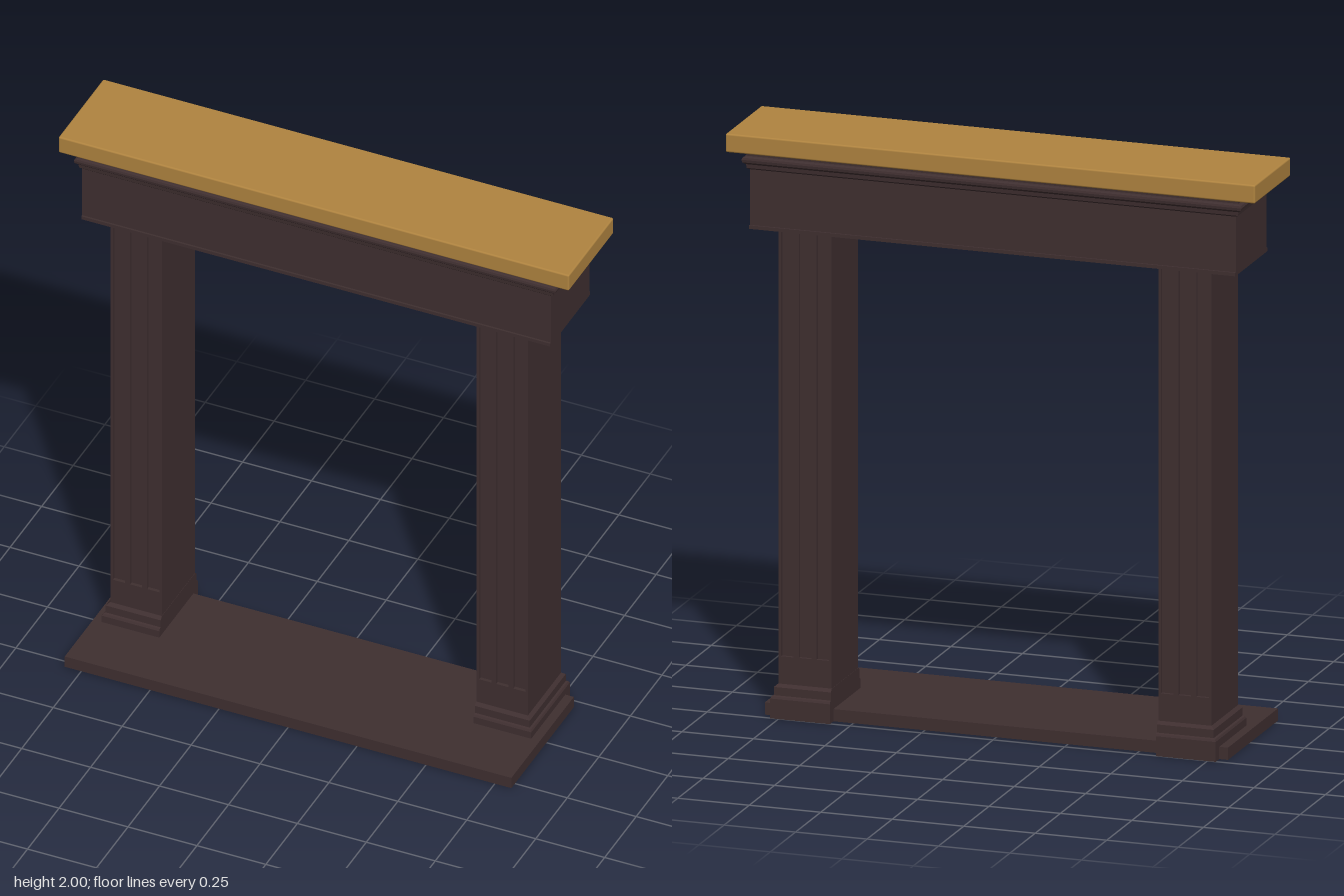
import * as THREE from 'three';
import { RoundedBoxGeometry } from 'three/addons/geometries/RoundedBoxGeometry.js';

const CZ = -0.1; // depth centre of the columns, lintel and shelf

// Stack of rectangles, bottom to top: each level is [y, x0, x1, z0, z1]
function loft(levels) {
  const pos = [];
  const rings = levels.map(([y, x0, x1, z0, z1]) =>
    [[x0, y, z1], [x1, y, z1], [x1, y, z0], [x0, y, z0]]);
  const quad = (a, b, c, d) => pos.push(...a, ...b, ...c, ...a, ...c, ...d);
  for (let i = 0; i < rings.length - 1; i++) {
    const lo = rings[i], hi = rings[i + 1];
    for (let k = 0; k < 4; k++) {
      const n = (k + 1) % 4;
      quad(lo[k], lo[n], hi[n], hi[k]);
    }
  }
  const top = rings[rings.length - 1], bottom = rings[0];
  quad(top[0], top[1], top[2], top[3]);
  quad(bottom[3], bottom[2], bottom[1], bottom[0]);
  const g = new THREE.BufferGeometry();
  g.setAttribute('position', new THREE.Float32BufferAttribute(pos, 3));
  g.computeVertexNormals();
  return g;
}

// Column plan with three grooves on both the front and the back
function flutedShape(w, d, grooves, grooveWidth, depth) {
  const pitch = w / grooves;
  const edge = [[-w / 2, -d / 2]];
  for (let i = 0; i < grooves; i++) {
    const c = -w / 2 + pitch * (i + 0.5), h = grooveWidth / 2;
    edge.push([c - h, -d / 2], [c - h, -d / 2 + depth], [c + h, -d / 2 + depth], [c + h, -d / 2]);
  }
  edge.push([w / 2, -d / 2]);
  const all = edge.concat(edge.map(([x, y]) => [-x, -y]));
  return new THREE.Shape(all.map(([x, y]) => new THREE.Vector2(x, y)));
}

export function createModel() {
  const group = new THREE.Group();
  const darkWood = new THREE.MeshStandardMaterial({ color: 0x3f2f30 });
  darkWood.name = 'darkWood';
  const goldenWood = new THREE.MeshStandardMaterial({ color: 0xb08440 });
  goldenWood.name = 'goldenWood';

  const add = (name, geometry, material, x = 0, y = 0, z = 0) => {
    const m = new THREE.Mesh(geometry, material);
    m.name = name;
    m.position.set(x, y, z);
    group.add(m);
    return m;
  };

  // Hearth slab
  add('hearthSlab', new THREE.BoxGeometry(1.62, 0.042, 0.495), darkWood, 0, 0.021, 0.0305);

  // Columns: plain foot, fluted shaft and stepped plinth on the outer sides
  const inner = 0.571, outer = 0.757, zHalf = 0.131;
  const width = outer - inner, midX = (inner + outer) / 2;
  const shaft = new THREE.ExtrudeGeometry(
    flutedShape(width, zHalf * 2, 3, 0.044, 0.012),
    { depth: 1.47, bevelEnabled: false });
  shaft.rotateX(-Math.PI / 2);
  const plinthProfile = [[0, 0.022], [0.068, 0.022], [0.075, 0.018], [0.078, 0.012], [0.106, 0.012], [0.116, 0.001]];

  for (const [side, s] of [['left', 1], ['right', -1]]) {
    add(side + 'ColumnShaft', shaft, darkWood, s * midX, 0.21, CZ);
    add(side + 'ColumnFoot', new THREE.BoxGeometry(width, 0.21, zHalf * 2), darkWood, s * midX, 0.105, CZ);
    const levels = plinthProfile.map(([y, o]) => {
      const a = s * (inner - 0.001), b = s * (outer + o);
      return [y, Math.min(a, b), Math.max(a, b), CZ - zHalf - o, CZ + zHalf + o];
    });
    add(side + 'Plinth', loft(levels), darkWood);
  }

  // Lintel with a thin lip along the bottom of front and back
  add('lintel', new THREE.BoxGeometry(1.7, 0.23, 0.304), darkWood, 0, 1.79, CZ);
  for (const [name, s] of [['frontLip', 1], ['backLip', -1]]) {
    add(name, new THREE.BoxGeometry(1.7, 0.012, 0.007), darkWood, 0, 1.681, CZ + s * 0.1555);
  }

  // Cornice moulding wrapping the top of the lintel
  const cornice = [
    [1.878, 0], [1.883, 0.008], [1.896, 0.01], [1.899, 0.015], [1.903, 0.021], [1.912, 0.023],
    [1.919, 0.02], [1.922, 0.012], [1.925, 0.009], [1.938, 0.009],
  ];
  add('cornice', loft(cornice.map(([y, o]) =>
    [y, -0.851 - o, 0.851 + o, CZ - 0.152 - o * 0.65, CZ + 0.152 + o * 0.65])), darkWood);

  // Mantel shelf
  add('mantelShelf', new RoundedBoxGeometry(1.852, 0.064, 0.356, 2, 0.006), goldenWood, 0, 1.968, -0.102);

  return group;
}
